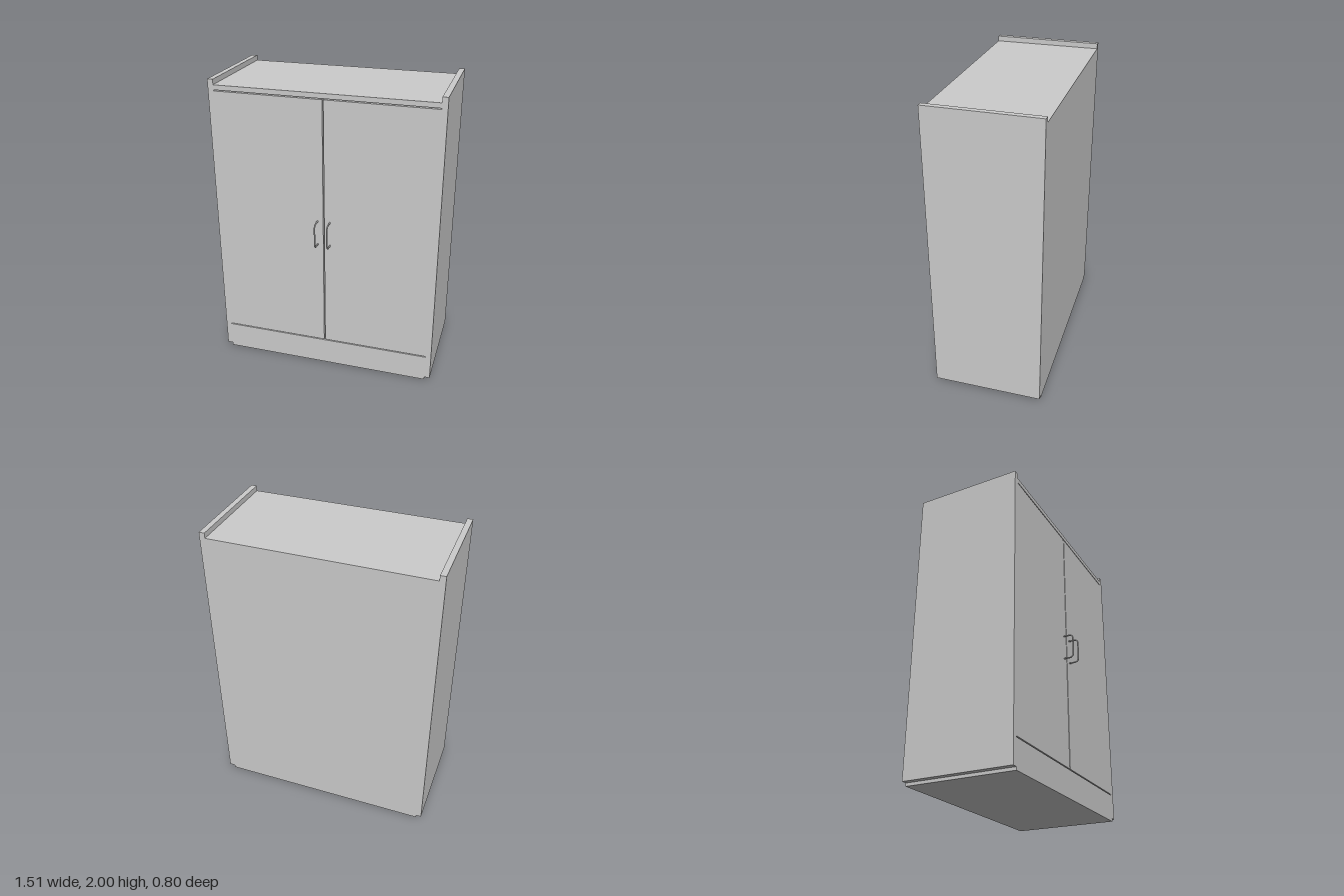
import * as THREE from 'three';

const material = new THREE.MeshStandardMaterial({ color: 0xcccccc });

// Box given by its lower and upper corners
function panel(name, [x0, y0, z0], [x1, y1, z1]) {
  const mesh = new THREE.Mesh(new THREE.BoxGeometry(x1 - x0, y1 - y0, z1 - z0), material);
  mesh.position.set((x0 + x1) / 2, (y0 + y1) / 2, (z0 + z1) / 2);
  mesh.name = name;
  return mesh;
}

// Bent bar: out from the door, up, and back in with rounded corners
function handle(name, x) {
  const low = 0.944, high = 1.111, inner = 0.322, outer = 0.394, r = 0.03;
  const p = (y, z) => new THREE.Vector3(x, y, z);
  const path = new THREE.CurvePath();
  path.add(new THREE.LineCurve3(p(low, inner), p(low, outer - r)));
  path.add(new THREE.QuadraticBezierCurve3(p(low, outer - r), p(low, outer), p(low + r, outer)));
  path.add(new THREE.LineCurve3(p(low + r, outer), p(high - r, outer)));
  path.add(new THREE.QuadraticBezierCurve3(p(high - r, outer), p(high, outer), p(high, outer - r)));
  path.add(new THREE.LineCurve3(p(high, outer - r), p(high, inner)));
  const mesh = new THREE.Mesh(new THREE.TubeGeometry(path, 64, 0.005, 12), material);
  mesh.name = name;
  return mesh;
}

export function createModel() {
  const cabinet = new THREE.Group();
  cabinet.name = 'cabinet';
  const back = -0.4, front = 0.327, inside = 0.718, outside = 0.755;
  const thick = 0.035, gap = 0.004;

  // Carcass: closed base, top and back between the side panels
  cabinet.add(
    panel('base', [-inside, 0, back], [inside, 0.186, front]),
    panel('top', [-inside, 1.933, back], [inside, 1.965, front]),
    panel('back', [-inside, 0.186, back], [inside, 1.933, back + 0.02])
  );

  // Side panels, doors and handles, mirrored about the middle
  for (const [side, s] of [['left', 1], ['right', -1]]) {
    const span = (a, b) => (s > 0 ? [a, b] : [-b, -a]);
    const [s0, s1] = span(inside, outside);
    const [d0, d1] = span(gap, inside);
    cabinet.add(
      panel(side + 'SidePanel', [s0, 0.02, back], [s1, 2, front]),
      panel(side + 'Door', [d0, 0.193, front - thick], [d1, 1.926, front]),
      handle(side + 'Handle', s * 0.042)
    );
  }
  return cabinet;
}
